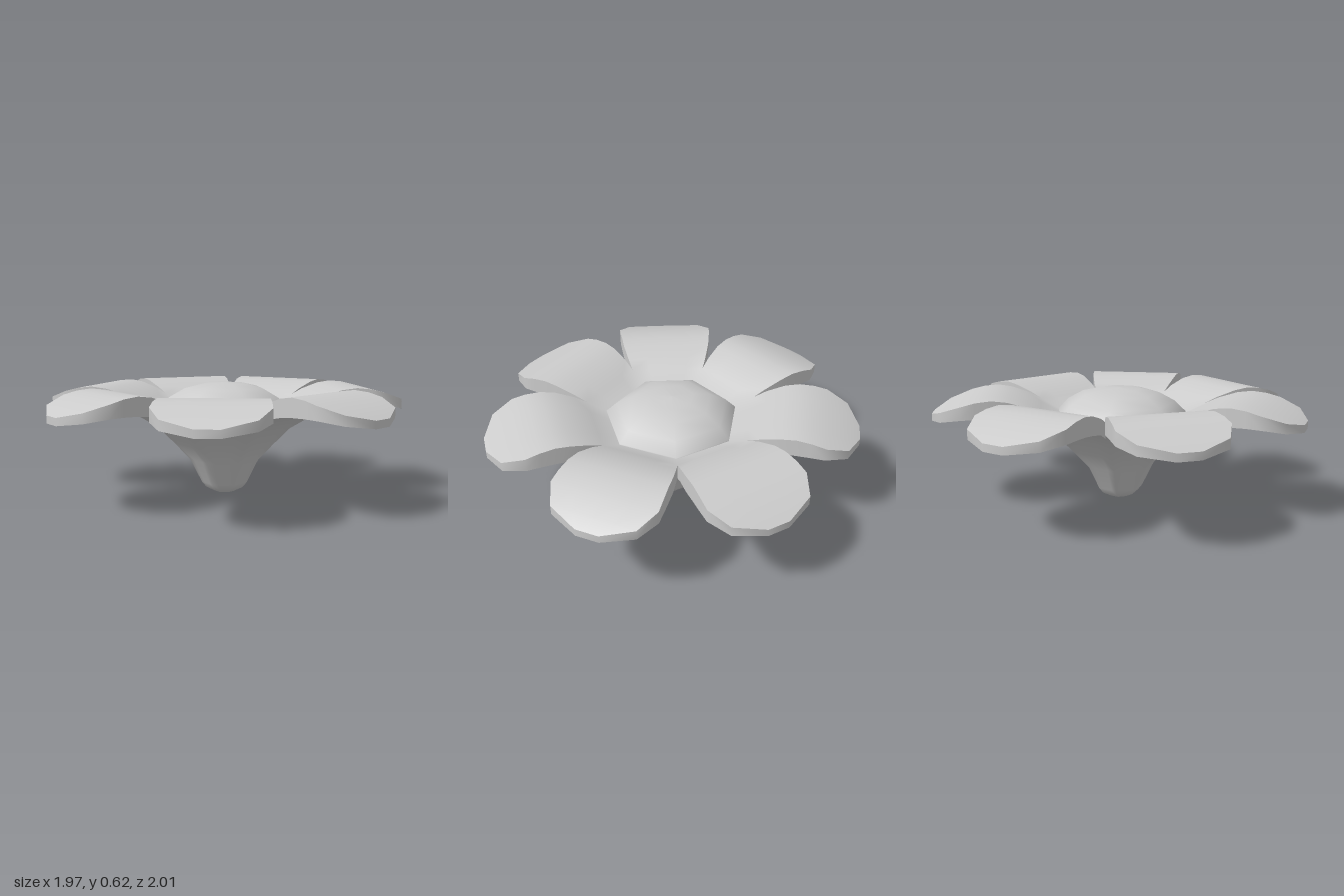
import * as THREE from 'three';
import { toCreasedNormals } from 'three/addons/utils/BufferGeometryUtils.js';

const PETALS = 7;
const TAN = Math.tan(Math.PI / PETALS);
const NOTCH = 0.4325; // petals part from each other beyond this distance
const COLS = 4;

// Stations along one petal: distance from axis, half width, top height, underside height.
// Inside the notch each petal is a wedge, so neighbours meet and form the funnel.
const stations = [
  [0, 0, 0.46, 0], [0.05, 0, 0.46, 0.005], [0.095, 0, 0.46, 0.03], [0.117, 0, 0.46, 0.06],
  [0.175, 0, 0.46, 0.19], [0.255, 0, 0.46, 0.285], [0.335, 0, 0.475, 0.375],
  [NOTCH, 0, 0.525, 0.44], [0.5, 0.23, 0.557, 0.475], [0.6, 0.255, 0.589, 0.495],
  [0.68, 0.266, 0.6, 0.503], [0.76, 0.275, 0.592, 0.505], [0.835, 0.28, 0.573, 0.503],
  [0.95, 0.22, 0.533, 0.482], [1.015, 0.06, 0.5, 0.46],
].map(([u, w, top, under]) => ({ u, w: u <= NOTCH ? u * TAN : w, top, under }));

function buildCorolla() {
  const positions = [];
  const yAxis = new THREE.Vector3(0, 1, 0);

  for (let p = 0; p < PETALS; p++) {
    const angle = (p / PETALS) * Math.PI * 2;
    const point = (s, t, side) =>
      new THREE.Vector3(s.u, s[side], s.w * t).applyAxisAngle(yAxis, angle);
    const quad = (a, b, c, d) => {
      for (const v of [a, b, c, a, c, d]) positions.push(v.x, v.y, v.z);
    };

    for (let i = 0; i < stations.length - 1; i++) {
      const s0 = stations[i], s1 = stations[i + 1];
      for (let c = 0; c < COLS; c++) {
        const t0 = -1 + (2 * c) / COLS, t1 = -1 + (2 * (c + 1)) / COLS;
        // upper face, starting under the centre dome
        if (s0.u > 0.25) {
          quad(point(s0, t0, 'top'), point(s0, t1, 'top'), point(s1, t1, 'top'), point(s1, t0, 'top'));
        }
        // underside, running down into the stem end
        quad(point(s0, t0, 'under'), point(s1, t0, 'under'), point(s1, t1, 'under'), point(s0, t1, 'under'));
      }
      // side rims of the free part of the petal
      if (s0.u >= NOTCH) {
        quad(point(s0, 1, 'top'), point(s0, 1, 'under'), point(s1, 1, 'under'), point(s1, 1, 'top'));
        quad(point(s0, -1, 'top'), point(s1, -1, 'top'), point(s1, -1, 'under'), point(s0, -1, 'under'));
      }
    }
    // rim at the tip
    const tip = stations[stations.length - 1];
    quad(point(tip, -1, 'top'), point(tip, 1, 'top'), point(tip, 1, 'under'), point(tip, -1, 'under'));
  }

  const geometry = new THREE.BufferGeometry();
  geometry.setAttribute('position', new THREE.Float32BufferAttribute(positions, 3));
  return toCreasedNormals(geometry, 0.9);
}

export function createModel() {
  const group = new THREE.Group();
  group.name = 'flower';
  const material = new THREE.MeshStandardMaterial({ color: 0xcccccc });

  // petals and the funnel below them
  const corolla = new THREE.Mesh(buildCorolla(), material);
  corolla.name = 'petalsAndFunnel';

  // seven-sided dome in the middle
  const profile = [[0.37, 0.465], [0.37, 0.48], [0.31, 0.54], [0.22, 0.59], [0.12, 0.613], [0, 0.62]]
    .map(([r, y]) => new THREE.Vector2(r, y));
  const dome = new THREE.Mesh(new THREE.LatheGeometry(profile, PETALS, -Math.PI / 2), material);
  dome.name = 'centreDome';

  for (const mesh of [corolla, dome]) {
    mesh.position.x = -0.035;
    group.add(mesh);
  }
  return group;
}
